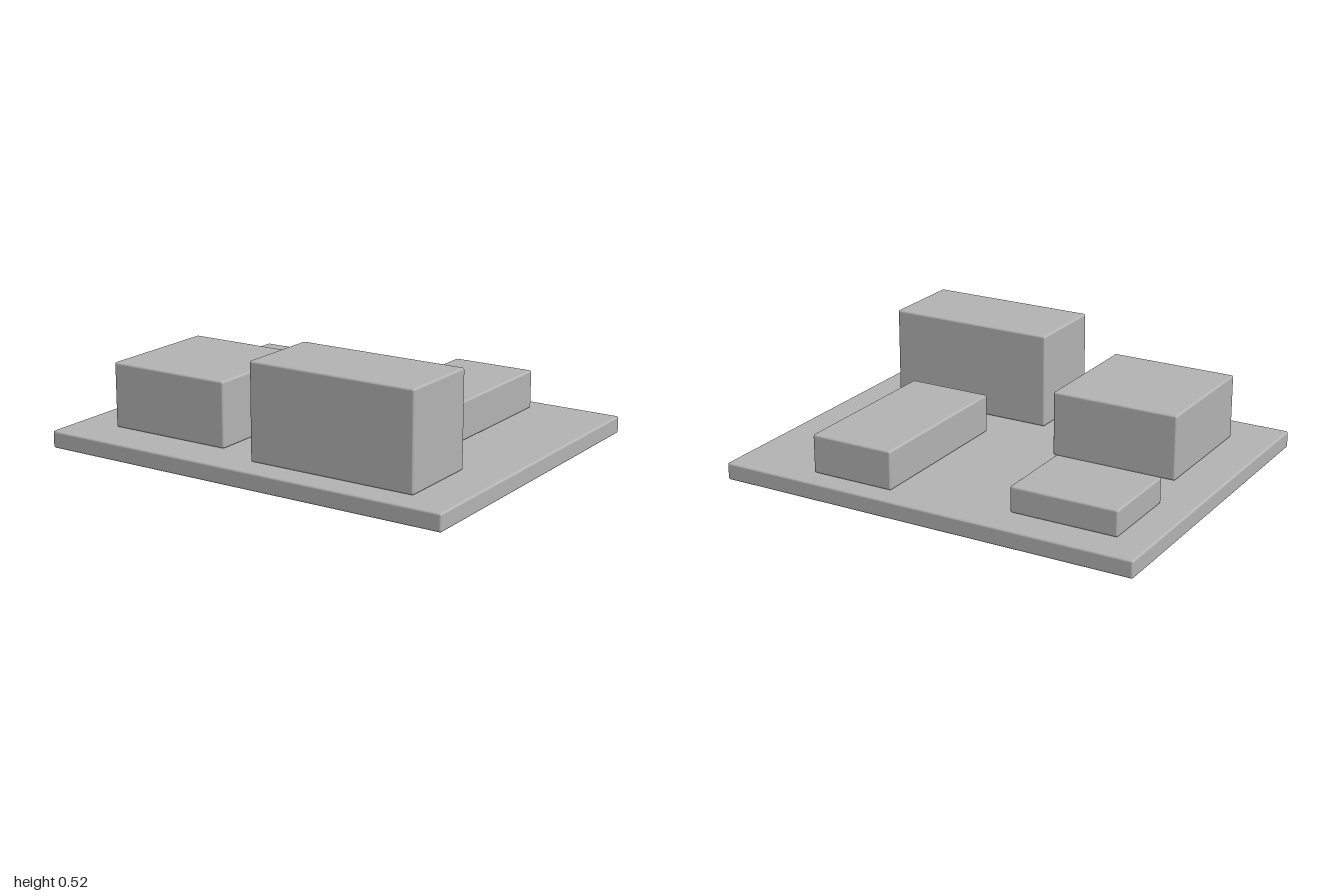
import * as THREE from 'three';
import { RoundedBoxGeometry } from 'three/addons/geometries/RoundedBoxGeometry.js';

const BEVEL = 0.01;

export function createModel() {
  const model = new THREE.Group();
  model.name = 'blocksOnBase';
  const grey = new THREE.MeshStandardMaterial({ color: 0xb4b4b4 });
  grey.name = 'grey';

  // Softly bevelled box given by its footprint centre, size and bottom height
  function addBlock(name, x, z, width, depth, bottom, height) {
    const mesh = new THREE.Mesh(new RoundedBoxGeometry(width, height, depth, 2, BEVEL), grey);
    mesh.name = name;
    mesh.position.set(x, bottom + height / 2, z);
    model.add(mesh);
  }

  // Base slab
  addBlock('base', 0, 0, 2, 1.6, 0, 0.08);

  // Four blocks standing on the slab
  addBlock('frontRightBlock', -0.5, 0.3, 0.6, 0.6, 0.08, 0.3);
  addBlock('frontLeftBlock', 0.4, 0.48, 0.8, 0.4, 0.08, 0.44);
  addBlock('backLeftBlock', 0.4, -0.3, 0.4, 0.8, 0.08, 0.18);
  addBlock('backRightBlock', -0.6, -0.44, 0.5, 0.4, 0.08, 0.12);

  return model;
}
